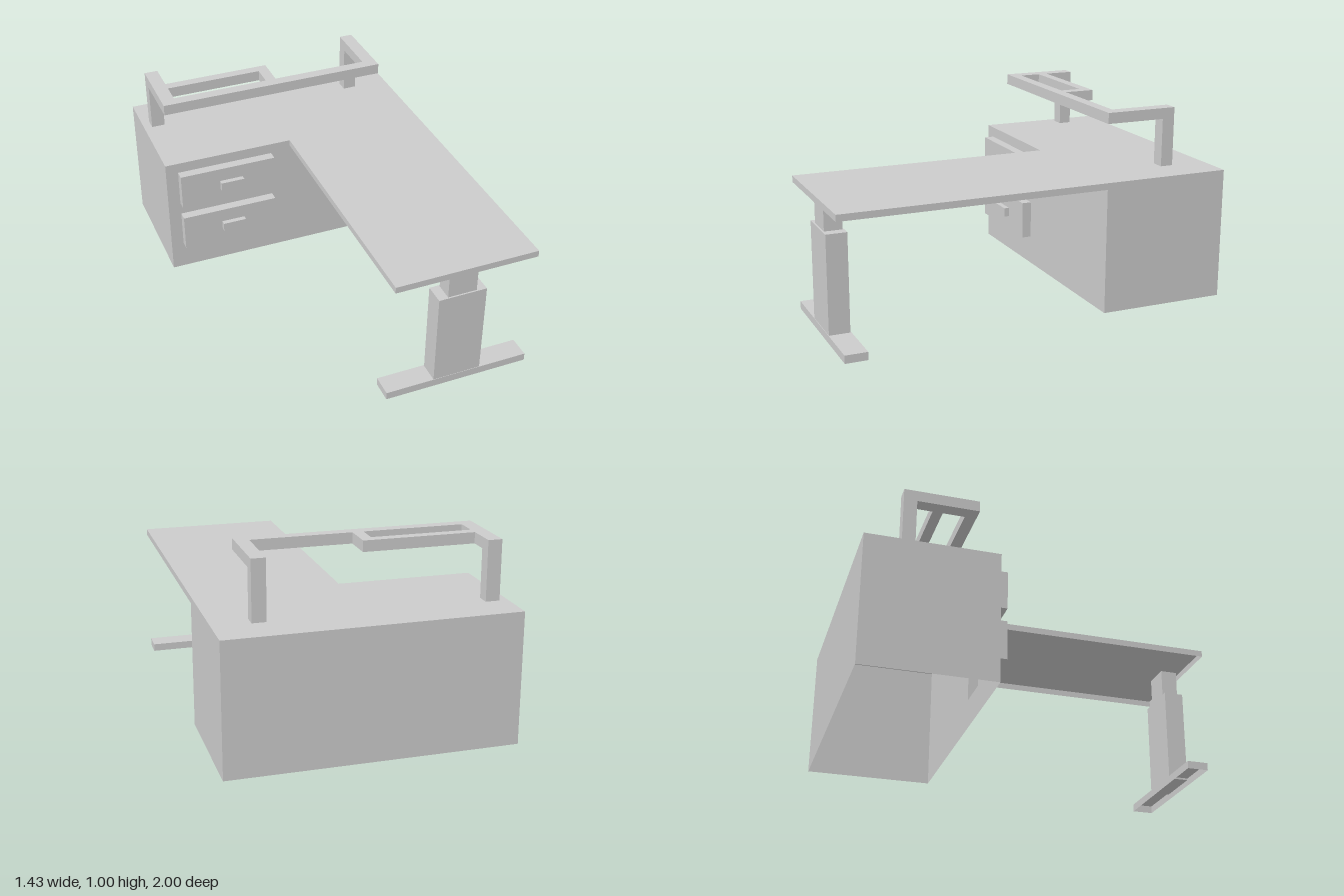
import * as THREE from 'three';

const material = new THREE.MeshStandardMaterial({ color: 0xcccccc, side: THREE.DoubleSide });
const BOTTOM = 3, FRONT = 4, BACK = 5;

// Box from min/max extents; faces listed in open are left out
function box(name, [x0, x1], [y0, y1], [z0, z1], open = []) {
  const geometry = new THREE.BoxGeometry(x1 - x0, y1 - y0, z1 - z0);
  geometry.translate((x0 + x1) / 2, (y0 + y1) / 2, (z0 + z1) / 2);
  const index = Array.from(geometry.index.array);
  geometry.setIndex(index.filter((_, i) => !open.includes(Math.floor(i / 6))));
  geometry.clearGroups();
  const mesh = new THREE.Mesh(geometry, material);
  mesh.name = name;
  return mesh;
}

const outline = (points, Type = THREE.Shape) =>
  new Type(points.map(([x, y]) => new THREE.Vector2(x, y)));
const rect = ([x0, x1], [y0, y1], Type) =>
  outline([[x0, y0], [x1, y0], [x1, y1], [x0, y1]], Type);

export function createModel() {
  const model = new THREE.Group();
  model.name = 'desk';

  // Cabinet shell, open underneath, with drawer openings in its front
  const cabinetX = [-0.715, 0.71], cabinetY = [0.04, 0.7], cabinetFront = -0.345;
  const drawerX = [-0.65, -0.135];
  const drawerRows = [[0.19, 0.385], [0.452, 0.645]];
  model.add(box('cabinet', cabinetX, cabinetY, [-1, cabinetFront], [BOTTOM, FRONT]));

  const frontShape = rect(cabinetX, cabinetY);
  drawerRows.forEach((row) => frontShape.holes.push(rect(drawerX, row, THREE.Path)));
  const cabinetFace = new THREE.Mesh(new THREE.ShapeGeometry(frontShape), material);
  cabinetFace.name = 'cabinetFront';
  cabinetFace.position.z = cabinetFront;
  model.add(cabinetFace);

  // Drawers with handles
  drawerRows.forEach((row) => {
    const drawer = new THREE.Group();
    drawer.name = 'drawer';
    const middle = (row[0] + row[1]) / 2;
    drawer.add(
      box('drawerFront', drawerX, row, [cabinetFront, -0.295], [BACK]),
      box('drawerHandle', [-0.44, -0.315], [middle - 0.024, middle + 0.024], [-0.295, -0.268])
    );
    model.add(drawer);
  });

  // Desktop extension, hollow underneath
  model.add(box('desktop', [-0.028, 0.71], [0.667, 0.7], [cabinetFront, 1], [BOTTOM, BACK]));

  // Telescopic support leg
  const leg = new THREE.Group();
  leg.name = 'supportLeg';
  leg.add(
    box('legUpper', [0.26, 0.41], [0.53, 0.69], [0.883, 0.972]),
    box('legLower', [0.21, 0.46], [0.03, 0.535], [0.875, 0.98]),
    box('foot', [-0.042, 0.715], [0, 0.04], [0.87, 0.982], [BOTTOM])
  );
  model.add(leg);

  // Raised shelf frame: plan drawn as (x, -z), extruded upward
  const shelfShape = outline([
    [-0.672, 0.815], [-0.672, 0.443], [0.525, 0.443], [0.525, 0.815],
    [0.456, 0.815], [0.456, 0.5], [-0.045, 0.5], [-0.045, 0.66],
    [-0.602, 0.66], [-0.602, 0.815],
  ]);
  shelfShape.holes.push(rect([-0.602, -0.1], [0.5, 0.61], THREE.Path));
  const shelfGeometry = new THREE.ExtrudeGeometry(shelfShape, { depth: 0.055, bevelEnabled: false });
  shelfGeometry.rotateX(-Math.PI / 2);
  const shelf = new THREE.Mesh(shelfGeometry, material);
  shelf.name = 'shelfFrame';
  shelf.position.y = 0.943;
  model.add(shelf);

  // Shelf posts
  [[-0.672, -0.602], [0.456, 0.525]].forEach((x) => {
    model.add(box('shelfPost', x, [0.7, 0.943], [-0.815, -0.75]));
  });

  return model;
}
